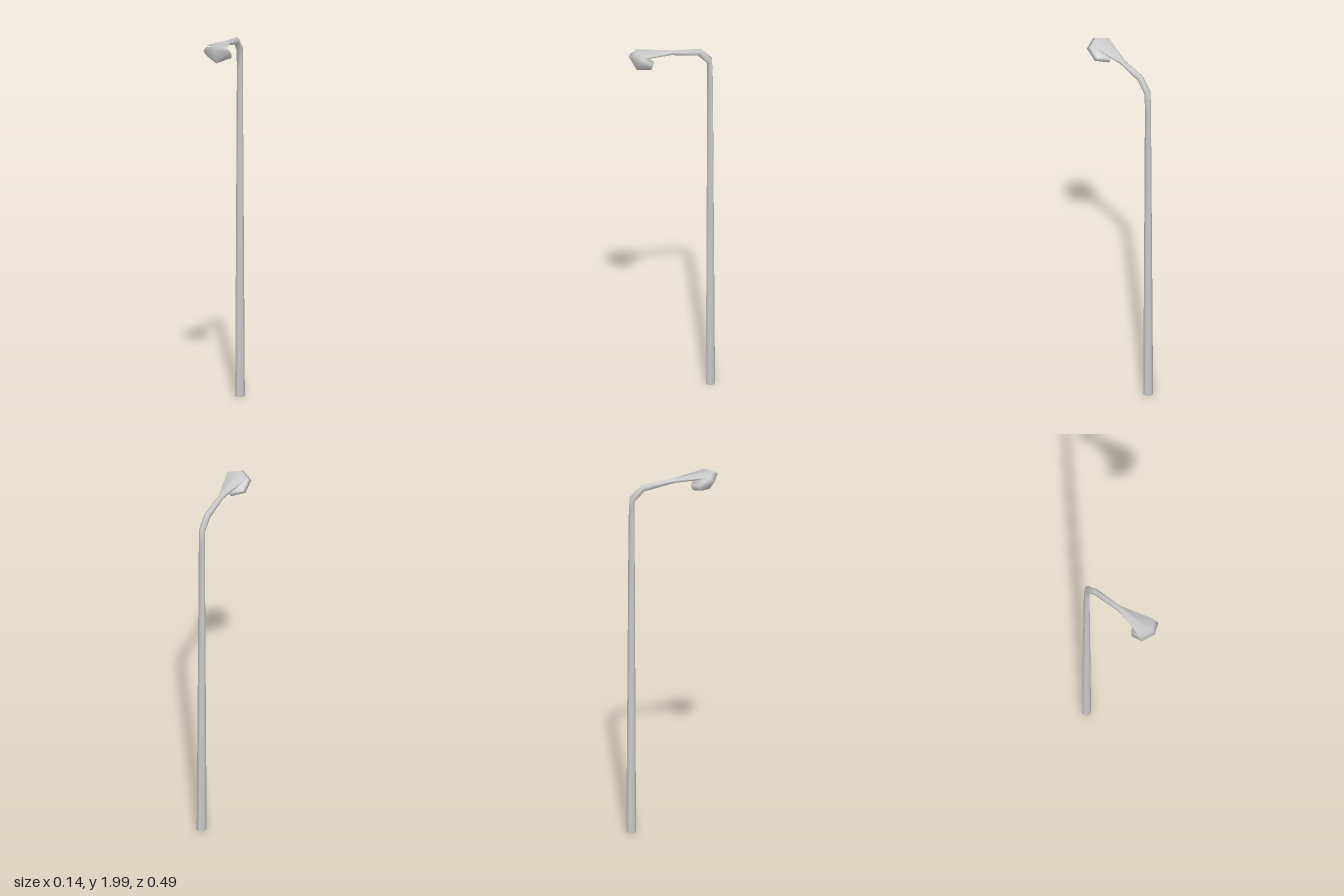
import * as THREE from 'three';

const SIDES = 6;

// Lofts six-sided rings [y, z, radius, tilt in degrees, half-width radius, rear width factor].
// Tilt turns the ring's leading corner in the y-z plane: 180 is back, 90 is up, 0 is front.
function loft(name, rings, material) {
  const positions = [];
  const index = [];
  rings.forEach(([y, z, r, tilt, rx = r, rear = 1], i) => {
    const t = THREE.MathUtils.degToRad(tilt);
    for (let k = 0; k < SIDES; k++) {
      const a = (k / SIDES) * Math.PI * 2;
      const c = Math.cos(a) * r;
      const width = rx * (Math.cos(a) < 0 ? rear : 1);
      positions.push(Math.sin(a) * width, y + c * Math.sin(t), z + c * Math.cos(t));
      if (i === 0) continue;
      const n = (k + 1) % SIDES;
      const lo = (i - 1) * SIDES;
      const hi = i * SIDES;
      index.push(lo + k, hi + k, lo + n, lo + n, hi + k, hi + n);
    }
  });
  const geometry = new THREE.BufferGeometry();
  geometry.setAttribute('position', new THREE.Float32BufferAttribute(positions, 3));
  geometry.setIndex(index);
  geometry.computeVertexNormals();
  const mesh = new THREE.Mesh(geometry, material);
  mesh.name = name;
  return mesh;
}

export function createModel() {
  const group = new THREE.Group();
  group.name = 'streetLamp';
  const material = new THREE.MeshStandardMaterial({ color: 0xcccccc, side: THREE.DoubleSide });

  // Tapered pole bending into the arm, which flares into the hood
  group.add(loft('poleAndArm', [
    [0, -0.219, 0.026, 180],
    [1.76, -0.217, 0.016, 180],
    [1.871, -0.214, 0.019, 135, 0.017],
    [1.929, -0.156, 0.02, 113, 0.016],
    [1.956, 0, 0.014, 96, 0.015],
    [1.975, 0.155, 0.06, 19, 0.069, 0.65],
  ], material));

  // Faceted lamp head: closed top, widest rim, pointed underside
  group.add(loft('lampHead', [
    [1.957, 0.159, 0, 31],
    [1.957, 0.159, 0.069, 31],
    [1.936, 0.177, 0.078, 32],
    [1.894, 0.199, 0, 32],
  ], material));

  // Foot of the pole
  const foot = new THREE.Mesh(new THREE.CircleGeometry(0.026, SIDES, Math.PI / 2), material);
  foot.name = 'poleFoot';
  foot.rotation.x = Math.PI / 2;
  foot.position.z = -0.219;
  group.add(foot);

  return group;
}
